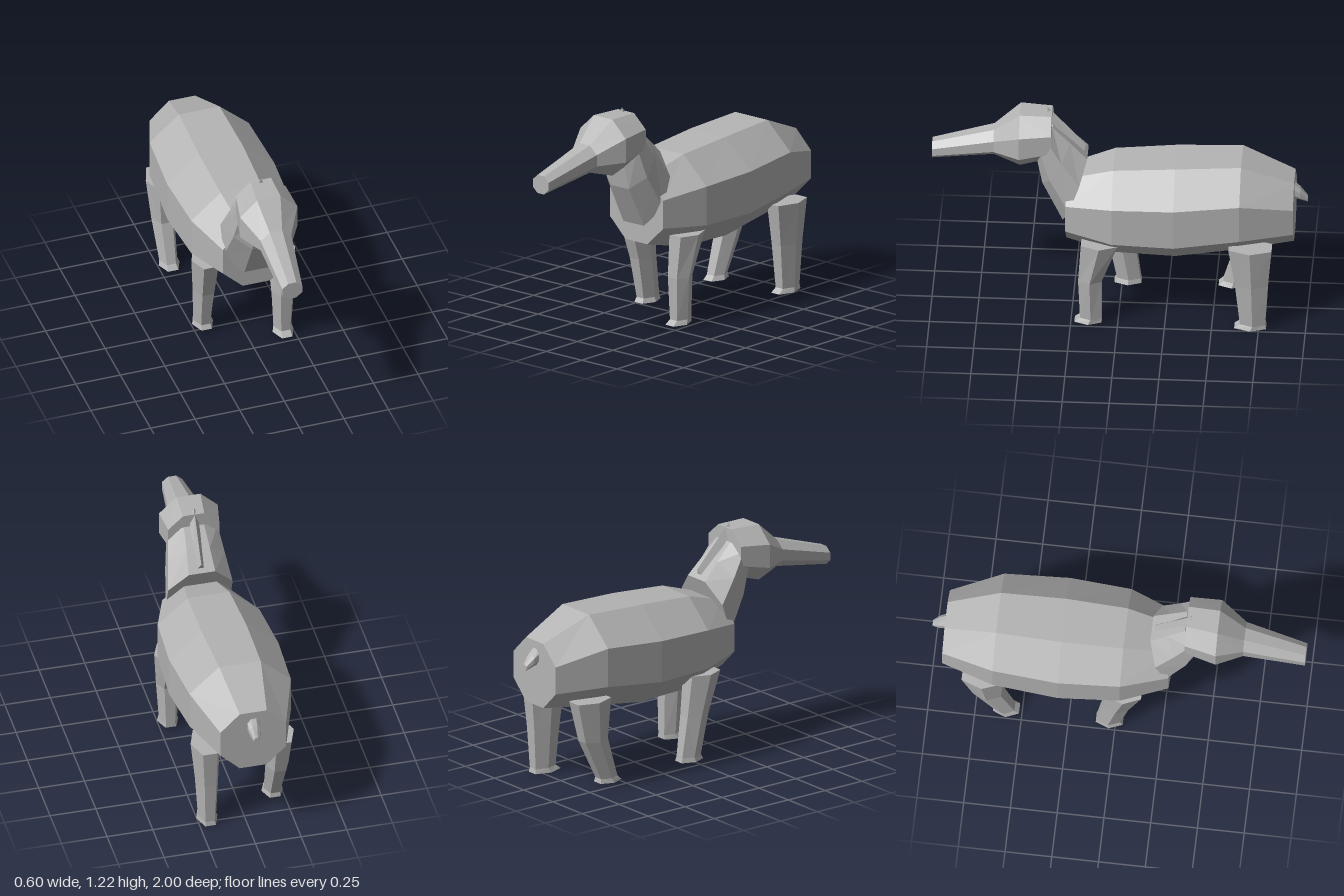
import * as THREE from 'three';

// Closed tube through rings of [x, y, z] points, capped at both ends.
function loft(name, rings, material) {
  const n = rings[0].length;
  const tris = [];
  for (let r = 0; r + 1 < rings.length; r++) {
    for (let i = 0; i < n; i++) {
      const j = (i + 1) % n;
      const a = rings[r][i], b = rings[r][j], c = rings[r + 1][j], d = rings[r + 1][i];
      tris.push([a, b, c], [a, c, d]);
    }
  }
  const first = rings[0], last = rings[rings.length - 1];
  for (let i = 1; i + 1 < n; i++) {
    tris.push([first[0], first[i + 1], first[i]], [last[0], last[i], last[i + 1]]);
  }
  // Turn the faces outward when the rings run the other way.
  const v = (p) => new THREE.Vector3(...p);
  const volume = tris.reduce((s, [a, b, c]) => s + v(a).dot(v(b).cross(v(c))), 0);
  if (volume < 0) tris.forEach((t) => t.reverse());

  const geometry = new THREE.BufferGeometry();
  geometry.setAttribute('position', new THREE.Float32BufferAttribute(tris.flat(2), 3));
  geometry.computeVertexNormals();
  const mesh = new THREE.Mesh(geometry, material);
  mesh.name = name;
  return mesh;
}

// Octagon spanning xL..xR, running from a bottom edge to a top edge given as [z, y].
function octagon(xL, xR, [zB, yB], [zT, yT]) {
  const cx = (xL + xR) / 2, hw = (xR - xL) / 2;
  const corners = [[-0.41, 0], [0.41, 0], [1, 0.29], [1, 0.71], [0.41, 1], [-0.41, 1], [-1, 0.71], [-1, 0.29]];
  return corners.map(([u, t]) => [cx + u * hw, yB + (yT - yB) * t, zB + (zT - zB) * t]);
}

const upright = ([z, bottom, top, xL, xR]) => octagon(xL, xR, [z, bottom], [z, top]);

// Level hexagon for the legs.
function hexagon([y, xA, xB, zA, zB]) {
  const cx = (xA + xB) / 2, cz = (zA + zB) / 2, rx = (xB - xA) / 2, rz = (zB - zA) / 2;
  return [[1, 0], [0.5, 1], [-0.5, 1], [-1, 0], [-0.5, -1], [0.5, -1]]
    .map(([u, w]) => [cx + u * rx, y, cz + w * rz]);
}

export function createModel() {
  const model = new THREE.Group();
  model.name = 'longSnoutedAnimal';
  const grey = new THREE.MeshStandardMaterial({ color: 0xb4b4b4, flatShading: true });
  grey.name = 'grey';

  // Barrel body: z, bottom, top, left and right x
  model.add(loft('body', [
    [0.28, 0.45, 0.82, -0.185, 0.193],
    [0.03, 0.39, 0.9, -0.277, 0.28],
    [-0.3, 0.38, 0.925, -0.3, 0.3],
    [-0.65, 0.43, 0.94, -0.28, 0.275],
    [-0.93, 0.465, 0.825, -0.185, 0.175],
  ].map(upright), grey));

  // Neck rising forward from the chest
  model.add(loft('neck', [
    octagon(-0.175, 0.178, [0.3, 0.555], [0.17, 0.94]),
    octagon(-0.155, 0.155, [0.41, 0.78], [0.26, 1.03]),
    octagon(-0.135, 0.135, [0.45, 0.98], [0.355, 1.12]),
  ], grey));

  // Head tapering into a long snout
  model.add(loft('head', [
    [0.36, 0.93, 1.19, -0.14, 0.14],
    [0.53, 0.88, 1.19, -0.173, 0.148],
    [0.67, 0.92, 1.07, -0.105, 0.066],
    [1, 0.865, 0.965, -0.096, 0.016],
  ].map(upright), grey));

  // Thin mane ridge down the back of the neck
  model.add(loft('mane', [
    [[-0.03, 0.93, 0.2], [0.035, 0.93, 0.2], [0.003, 0.99, 0.18]],
    [[-0.027, 1.165, 0.385], [0.02, 1.165, 0.385], [-0.007, 1.215, 0.385]],
  ], grey));

  // Short drooping tail
  model.add(loft('tail', [
    [-0.91, 0.7, 0.8, -0.045, 0.03],
    [-0.96, 0.685, 0.755, -0.038, 0.024],
    [-1, 0.67, 0.705, -0.022, 0.008],
  ].map(upright), grey));

  // Legs: foot height, then front and back z at hip, knee, ankle and foot
  const legs = [
    ['frontLeftLeg', 1, 0.01, [0, 0.195], [0.085, 0.21], [0.085, 0.2], [0.085, 0.23]],
    ['frontRightLeg', -1, 0.02, [-0.05, 0.14], [-0.07, 0.07], [-0.1, 0.025], [-0.105, 0.04]],
    ['backLeftLeg', 1, 0, [-0.82, -0.59], [-0.8, -0.625], [-0.785, -0.65], [-0.79, -0.62]],
    ['backRightLeg', -1, 0.02, [-0.82, -0.6], [-0.76, -0.61], [-0.65, -0.54], [-0.655, -0.515]],
  ];
  for (const [name, side, foot, hip, knee, ankle, sole] of legs) {
    const rings = [
      [0.5, 0.122, 0.282, ...hip],
      [0.27, 0.132, 0.26, ...knee],
      [foot + 0.025, 0.145, 0.245, ...ankle],
      [foot, 0.135, 0.252, ...sole],
    ].map(hexagon).map((ring) => ring.map(([x, y, z]) => [side * x, y, z]));
    model.add(loft(name, rings, grey));
  }
  return model;
}
